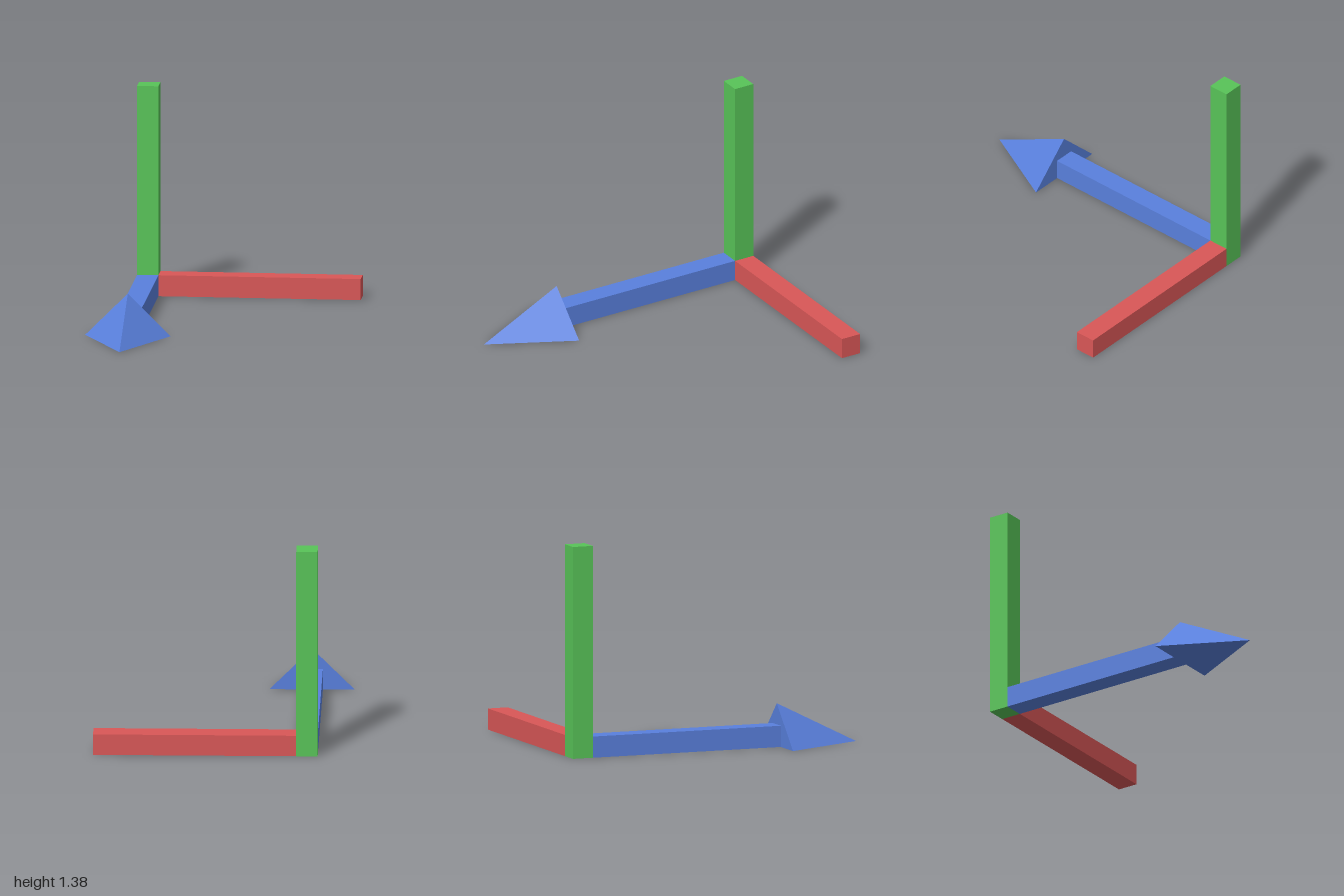
import * as THREE from 'three';
import { ConvexGeometry } from 'three/addons/geometries/ConvexGeometry.js';

const W = 0.138; // bar thickness
const X0 = -0.621, Z0 = -1; // outer corner shared by the bars

export function createModel() {
  const model = new THREE.Group();
  model.name = 'axisMarker';

  const paint = (color) => new THREE.MeshStandardMaterial({ color, flatShading: true });
  const red = paint(0xd95757), green = paint(0x58c458), blue = paint(0x5980dd);

  const add = (name, geometry, material) => {
    const mesh = new THREE.Mesh(geometry, material);
    mesh.name = name;
    model.add(mesh);
  };

  // square bar given by its lowest corner and its size
  const bar = (name, material, x, y, z, sx, sy, sz) =>
    add(name, new THREE.BoxGeometry(sx, sy, sz).translate(x + sx / 2, y + sy / 2, z + sz / 2), material);

  // the upright fills the corner; the other bars butt against its faces
  bar('verticalBar', green, X0, 0, Z0, W, 1.38, W);
  bar('sidewaysBar', red, X0 + W, 0, Z0, 1.311, W, W);
  bar('forwardBar', blue, X0, 0, Z0 + W, W, W, 1.31);

  // arrowhead: triangular back face tapering to a point on the ground
  const cx = X0 + W / 2, back = 0.448;
  add('arrowHead', new ConvexGeometry([
    new THREE.Vector3(cx - 2 * W, 0, back),
    new THREE.Vector3(cx + 2 * W, 0, back),
    new THREE.Vector3(cx, 2 * W, back),
    new THREE.Vector3(cx, 0, 1),
  ]), blue);

  return model;
}
